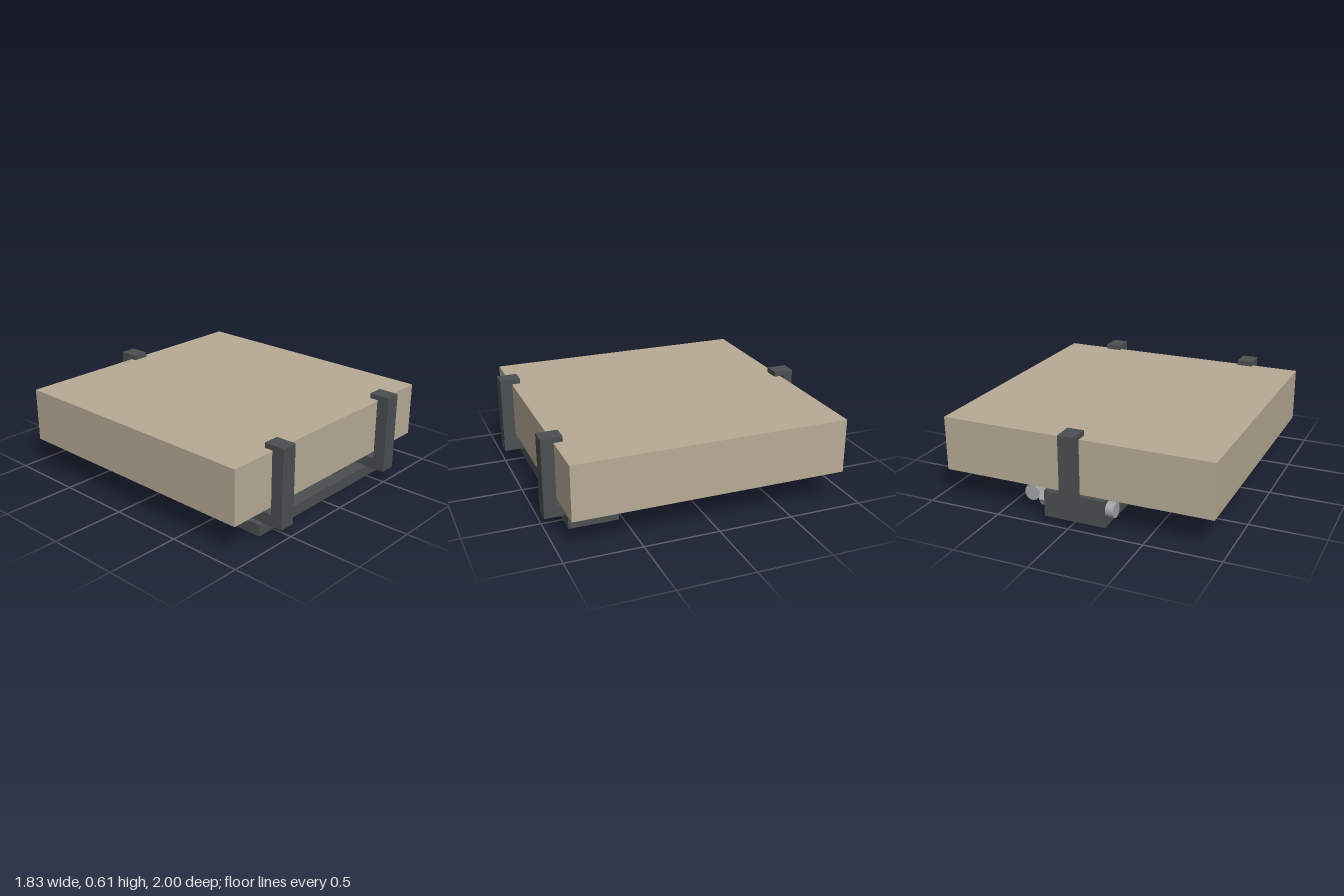
import * as THREE from 'three';

export function createModel() {
  const model = new THREE.Group();
  model.name = 'clampedBlockFixture';
  const tan = new THREE.MeshStandardMaterial({ color: 0xb8ab96, name: 'tan block' });
  const dark = new THREE.MeshStandardMaterial({ color: 0x4a4f4f, name: 'dark metal' });
  const steel = new THREE.MeshStandardMaterial({ color: 0xa3a6a8, name: 'steel' });

  const add = (name, geometry, material) => {
    const mesh = new THREE.Mesh(geometry, material);
    mesh.name = name;
    model.add(mesh);
    return mesh;
  };
  // Box from its limits on each axis
  const box = (name, x0, x1, y0, y1, z0, z1, material = dark) =>
    add(name, new THREE.BoxGeometry(x1 - x0, y1 - y0, z1 - z0), material)
      .position.set((x0 + x1) / 2, (y0 + y1) / 2, (z0 + z1) / 2);
  // Cylinder along an axis, from a to b, centred on the other two coordinates
  const rod = (name, axis, a, b, r, [x, y, z], sides = 32) => {
    const geometry = new THREE.CylinderGeometry(r, r, b - a, sides);
    if (axis === 'x') geometry.rotateZ(Math.PI / 2);
    if (axis === 'z') geometry.rotateX(Math.PI / 2);
    const mesh = add(name, sides < 10 ? geometry.toNonIndexed() : geometry, steel);
    if (sides < 10) mesh.geometry.computeVertexNormals();
    mesh.position.set(x, y, z);
    mesh.position[axis] = (a + b) / 2;
  };
  // Upright clamp with a hooked lip, extruded sideways from its side outline
  const clamp = (name, x, points) => {
    const shape = new THREE.Shape(points.map(([z, y]) => new THREE.Vector2(-z, y)));
    const geometry = new THREE.ExtrudeGeometry(shape, { depth: 0.11, bevelEnabled: false });
    geometry.translate(0, 0, -0.055).rotateY(Math.PI / 2);
    add(name, geometry, dark).position.x = x;
  };

  box('heldBlock', -0.915, 0.915, 0.205, 0.57, -0.915, 0.915, tan);

  // Flat base frame: one outline with front bar, side arms, stem and rear bar
  const half = [[0.63, 0.86], [0.63, 0.53], [0.12, 0.53], [0.12, 0.28], [0.49, 0.28], [0.49, 0.07],
    [0.11, 0.07], [0.11, -0.435], [0.38, -0.435], [0.38, -0.545], [0.11, -0.545], [0.11, -0.775]];
  const outline = [...half, ...half.map(([x, z]) => [-x, z]).reverse()];
  const base = new THREE.ExtrudeGeometry(
    new THREE.Shape(outline.map(([x, z]) => new THREE.Vector2(x, -z))),
    { depth: 0.078, bevelEnabled: false });
  add('baseFrame', base.rotateX(-Math.PI / 2), dark);

  for (const s of [-1, 1]) {
    // Front clamps with long feet
    clamp('frontClamp', s * 0.539, [[0.53, 0.08], [1, 0.08], [1, 0.612], [0.86, 0.612],
      [0.86, 0.578], [0.917, 0.578], [0.917, 0.155], [0.53, 0.155]]);
    // Pads under the block
    const x = s * 0.305;
    box('frontPad', x - 0.075, x + 0.075, 0.078, 0.205, 0.57, 0.78);
    box('rearPad', x - 0.075, x + 0.075, 0.006, 0.204, -0.546, -0.434);
    // Arm bolts, with ends showing under the frame
    const arm = [s * 0.385, 0, 0.175];
    rod('armWasher', 'y', 0.078, 0.09, 0.086, arm);
    rod('armBoltHead', 'y', 0.09, 0.13, 0.057, arm);
    rod('armBoltEnd', 'y', -0.001, 0.02, 0.035, arm);
    for (const z of [0.6, 0.78]) rod('footBoltEnd', 'y', -0.001, 0.02, 0.035, [s * 0.545, 0, z]);
  }

  // Rear slide, housing and clamp
  box('slidePlate', -0.155, 0.155, 0.078, 0.122, -0.56, -0.05);
  box('rearHousing', -0.21, 0.21, 0.006, 0.184, -0.91, -0.545);
  clamp('rearClamp', 0, [[-0.9, 0.07], [-0.9, 0.15], [-0.937, 0.15], [-0.937, 0.578],
    [-0.86, 0.578], [-0.86, 0.612], [-1, 0.612], [-1, 0.07]]);

  // Adjusting screw along the left side of the housing
  const screw = [0.32, 0.127, 0];
  box('screwBracket', 0.2, 0.4, 0.068, 0.182, -0.8, -0.69);
  rod('screwTip', 'z', -0.5, -0.33, 0.026, screw);
  rod('screwSleeve', 'z', -0.7, -0.54, 0.036, screw);
  rod('screwHead', 'z', -0.865, -0.8, 0.052, screw);

  // Cross bolt through the housing, with a hex nut
  const cross = [0, 0.118, -0.86];
  rod('crossBoltHead', 'x', -0.265, -0.21, 0.05, cross);
  rod('crossNut', 'x', 0.21, 0.245, 0.056, cross, 6);
  rod('crossBoltEnd', 'x', 0.245, 0.26, 0.028, cross);

  return model;
}
